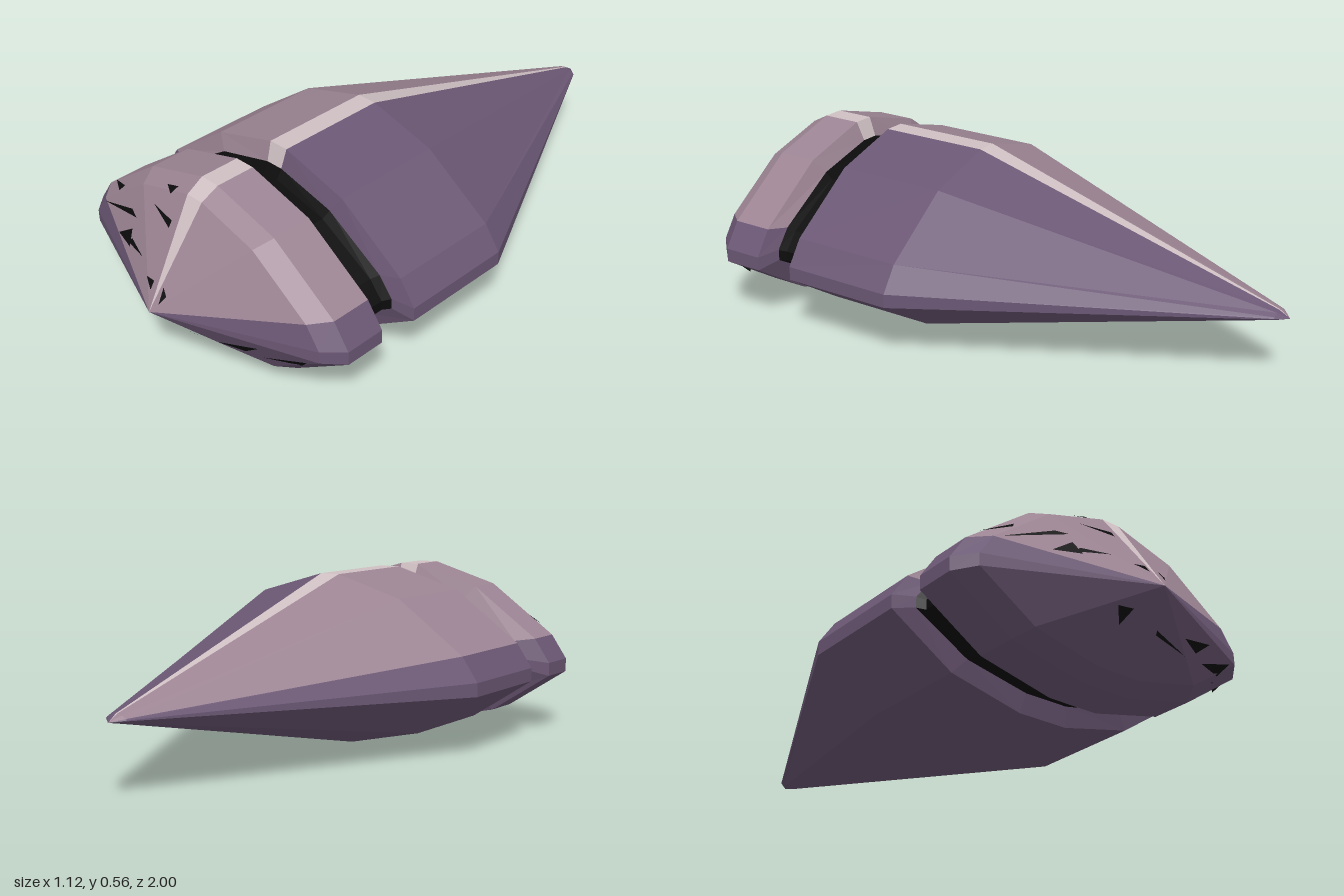
import * as THREE from 'three';

const mat = (name, color, side = THREE.FrontSide) => {
  const m = new THREE.MeshStandardMaterial({ color, side, flatShading: true });
  m.name = name;
  return m;
};

// Full cross-section: right half from the top ridge to the keel, then mirrored
const half = [[0.035, 0.562], [0.27, 0.493], [0.505, 0.325], [0.56, 0.245], [0.56, 0.2], [0.345, 0.06], [0.09, 0.002]];
const section = [...half, ...half.slice().reverse().map(([x, y]) => [-x, y])];
const MID = 0.28;
const TIP = 0.23;

// A ring is [z, x scale, y scale, centre y]
const ringPoints = ([z, sx, sy, cy = MID]) => section.map(([x, y]) => [x * sx, cy + (y - MID) * sy, z]);

// Facet-by-facet loft from front to back; colorOf gives a material index per facet
function loft(name, rings, materials, colorOf) {
  const rows = rings.map(ringPoints);
  const n = section.length;
  const pos = [];
  const geo = new THREE.BufferGeometry();
  for (let i = 0; i < n; i++) {
    const j = (i + 1) % n;
    const start = pos.length / 3;
    for (let k = 0; k + 1 < rows.length; k++) {
      const a = rows[k][i], b = rows[k][j], c = rows[k + 1][j], d = rows[k + 1][i];
      if (rings[k][1] > 0) pos.push(...a, ...b, ...d);
      if (rings[k + 1][1] > 0) pos.push(...b, ...c, ...d);
    }
    geo.addGroup(start, pos.length / 3 - start, colorOf(i));
  }
  geo.setAttribute('position', new THREE.Float32BufferAttribute(pos, 3));
  geo.computeVertexNormals();
  const mesh = new THREE.Mesh(geo, materials);
  mesh.name = name;
  return mesh;
}

// Depth of the nose surface at a point seen from the front
const noseRing = ringPoints([0.8, 0.9, 0.89]);
function noseZ(x, y) {
  let t = 0;
  noseRing.forEach(([ax, ay], i) => {
    const [bx, by] = noseRing[(i + 1) % noseRing.length];
    const nx = ay - by, ny = bx - ax;
    t = Math.max(t, (nx * x + ny * (y - TIP)) / (nx * ax + ny * (ay - TIP)));
  });
  return t <= 1 ? 1 - 0.2 * t : 0.8 - 0.55 * (t - 1);
}

// Dark chips: triangles as x, y pairs
const chips = [
  [-0.14, 0.51, -0.09, 0.525, -0.1, 0.505],
  [-0.155, 0.455, -0.05, 0.455, -0.05, 0.435],
  [-0.44, 0.32, -0.26, 0.39, -0.22, 0.385],
  [-0.3, 0.3, -0.225, 0.35, -0.21, 0.305],
  [-0.23, 0.31, -0.12, 0.325, -0.21, 0.33],
  [-0.46, 0.36, -0.365, 0.4, -0.38, 0.38],
  [-0.065, 0.3, -0.025, 0.305, -0.025, 0.28],
  [0.02, 0.305, 0.04, 0.285, 0.025, 0.26],
  [-0.11, 0.165, -0.06, 0.165, -0.08, 0.125],
  [0.18, 0.16, 0.32, 0.195, 0.26, 0.15],
  [0.31, 0.14, 0.465, 0.195, 0.425, 0.15],
  [0.05, 0.14, 0.21, 0.125, 0.055, 0.13],
  [0.42, 0.135, 0.51, 0.17, 0.485, 0.14],
];

export function createModel() {
  const model = new THREE.Group();
  model.name = 'facetedSpearhead';
  const purple = mat('purple', 0x6b5774);
  const mauve = mat('mauve', 0x9c8493);
  const pale = mat('paleRidge', 0xcfc0c3);
  const black = mat('black', 0x0c0c0c, THREE.DoubleSide);
  const palette = [purple, mauve, pale];

  // Pointed nose with its collar
  model.add(loft('nose', [
    [1, 0, 0, TIP], [0.8, 0.9, 0.89], [0.74, 1, 1], [0.605, 1, 1], [0.58, 0.87, 0.78],
  ], palette, (i) => (i === 13 ? 2 : [0, 1, 11, 12].includes(i) ? 1 : 0)));

  // Long tapering body, mauve on one upper side only
  model.add(loft('body', [
    [0.49, 0.87, 0.78], [0.47, 1, 1], [0.09, 1, 1], [-0.965, 0.07, 0.05, 0.237], [-1, 0, 0, TIP],
  ], palette, (i) => (i === 13 ? 2 : i === 11 || i === 12 ? 1 : 0)));

  // Recessed black band between nose and body
  model.add(loft('groove', [
    [0.582, 0.875, 0.785], [0.565, 0.83, 0.715, 0.267], [0.508, 0.83, 0.715, 0.267], [0.488, 0.875, 0.785],
  ], [black], () => 0));

  // Dark chips lying on the nose facets
  const pos = [];
  for (const c of chips) {
    for (let i = 0; i < 6; i += 2) pos.push(c[i], c[i + 1], noseZ(c[i], c[i + 1]) + 0.006);
  }
  const geo = new THREE.BufferGeometry();
  geo.setAttribute('position', new THREE.Float32BufferAttribute(pos, 3));
  geo.computeVertexNormals();
  const flecks = new THREE.Mesh(geo, black);
  flecks.name = 'noseChips';
  model.add(flecks);

  return model;
}
